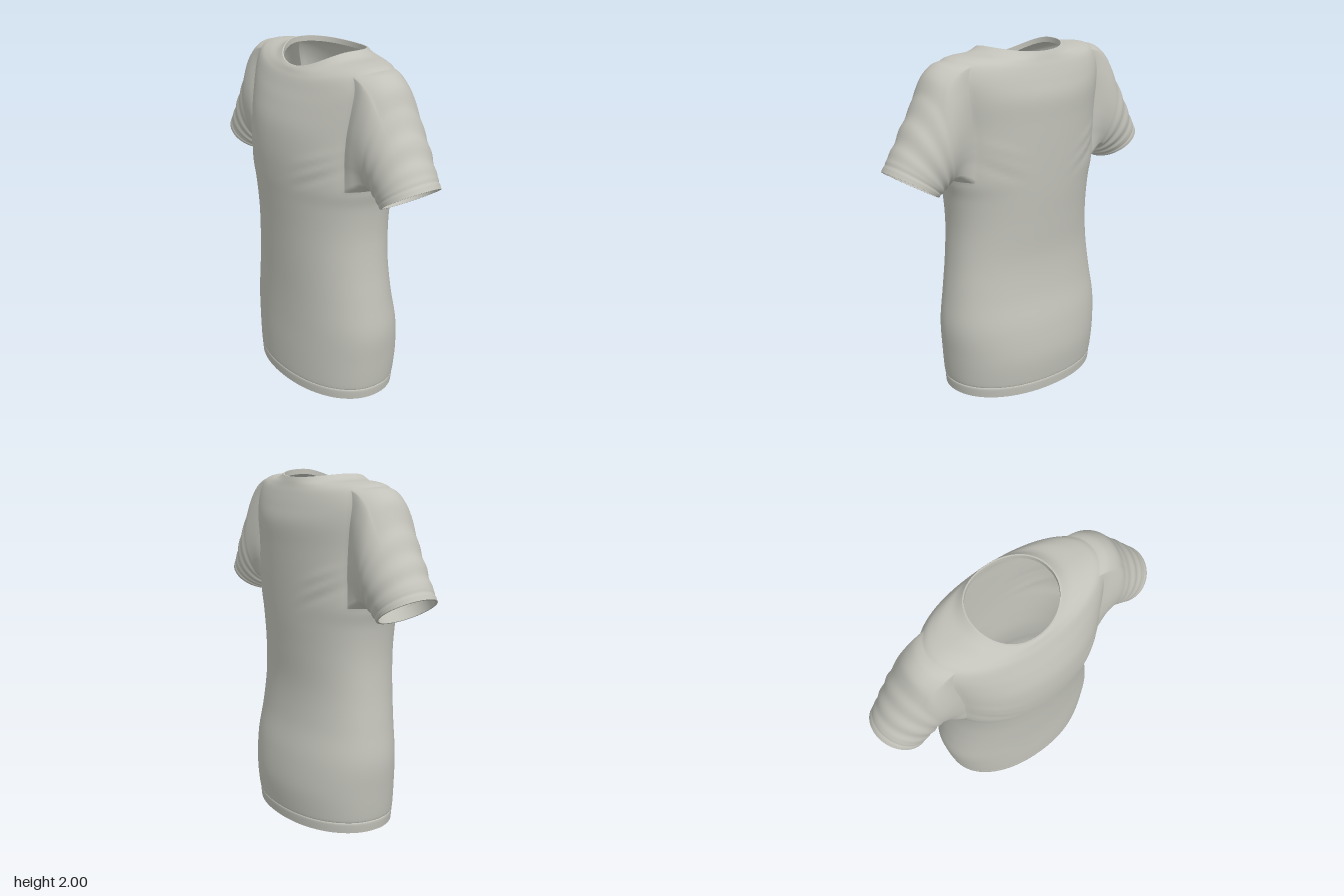
import * as THREE from 'three';

const COLS = 96, STEP = 6, HALF = 8; // columns round the body, rows per key, half width of an armhole in columns

// Body sections: half width, front depth, back depth, then height at side, front and back
const BODY = [
  [0.497, 0.312, 0.335, 0, 0, 0],
  [0.502, 0.315, 0.339, 0.05, 0.05, 0.05],
  [0.498, 0.311, 0.336, 0.064, 0.064, 0.064],
  [0.507, 0.317, 0.344, 0.08, 0.08, 0.08],
  [0.521, 0.317, 0.355, 0.23, 0.23, 0.23],
  [0.531, 0.313, 0.336, 0.41, 0.41, 0.41],
  [0.507, 0.313, 0.297, 0.6, 0.6, 0.6],
  [0.48, 0.32, 0.277, 0.8, 0.8, 0.8],
  [0.466, 0.33, 0.284, 1.0, 1.0, 1.0],
  [0.478, 0.344, 0.295, 1.18, 1.18, 1.18],
  [0.505, 0.354, 0.3, 1.3, 1.3, 1.3],
  [0.505, 0.358, 0.304, 1.45, 1.45, 1.45],
  [0.512, 0.345, 0.306, 1.61, 1.6, 1.6],
  [0.53, 0.31, 0.306, 1.76, 1.72, 1.73],
  [0.535, 0.278, 0.285, 1.87, 1.8, 1.82],
  [0.5, 0.257, 0.262, 1.945, 1.85, 1.89],
  [0.42, 0.242, 0.246, 1.967, 1.878, 1.93],
  [0.31, 0.23, 0.236, 1.973, 1.9, 1.957],
  [0.25, 0.218, 0.227, 2.0, 1.912, 1.977],
];
const ARM_LOW = 10 * STEP, ARM_HIGH = 15 * STEP; // armhole rows

// Sleeve sections: top x, top y, bottom x, bottom y, half depth, centre z, pull towards the armhole outline
const SLEEVE = [
  [0.5, 1.945, 0.505, 1.3, 0.18, 0, 1],
  [0.56, 1.933, 0.518, 1.304, 0.19, 0, 0.7],
  [0.625, 1.88, 0.53, 1.304, 0.192, -0.003, 0.35],
  [0.675, 1.78, 0.545, 1.295, 0.188, -0.008, 0.1],
  [0.75, 1.655, 0.562, 1.283, 0.183, -0.01, 0],
  [0.822, 1.535, 0.585, 1.262, 0.174, -0.008, 0],
  [0.87, 1.46, 0.604, 1.246, 0.17, -0.006, 0],
  [0.9, 1.41, 0.62, 1.235, 0.168, -0.005, 0],
];

// Smooth interpolation through the rows of a table
function sample(table, s) {
  const last = table.length - 1, k = Math.min(Math.floor(s), last - 1), f = s - k;
  const row = (i) => table[Math.max(0, Math.min(last, i))];
  return table[k].map((p1, j) => {
    const p0 = row(k - 1)[j], p2 = row(k + 1)[j], p3 = row(k + 2)[j];
    return p1 + 0.5 * f * (p2 - p0 + f * (2 * p0 - 5 * p1 + 4 * p2 - p3 + f * (3 * (p1 - p2) + p3 - p0)));
  });
}

const signedPow = (v, e) => Math.sign(v) * Math.pow(Math.abs(v), e);

// Soft diagonal folds running from the armpits across the chest and back
function foldHeight(x, y) {
  let h = 0;
  for (const [y0, slope, size] of [[1.25, 0.5, 0.007], [1.34, 0.42, 0.005]]) {
    const d = (y - y0 - slope * Math.abs(x)) / 0.025;
    const along = Math.exp(-Math.pow((Math.abs(x) - 0.33) / 0.12, 2));
    h += size * along * (Math.exp(-d * d) - 0.7 * Math.exp(-(d + 2) * (d + 2)));
  }
  return h;
}

function bodyPoint(row, col) {
  const [w, front, back, ySide, yFront, yBack] = sample(BODY, row / STEP);
  const t = (col / COLS) * Math.PI * 2, c = Math.cos(t), s = Math.sin(t);
  const x = w * signedPow(c, 0.94);
  const yMid = s > 0 ? yFront : yBack;
  const y = yMid + (ySide - yMid) * c * c;
  const z = (s > 0 ? front : back) * signedPow(s, 0.94);
  return new THREE.Vector3(x, y, z + Math.sign(s) * foldHeight(x, y) * Math.min(1, Math.abs(s) * 1.5));
}

export function createModel() {
  const shirt = new THREE.Group();
  shirt.name = 'shirt';
  const fabric = new THREE.MeshStandardMaterial({ color: 0xc2c2ba, side: THREE.DoubleSide });
  fabric.name = 'grey fabric';

  const points = [];
  const faces = { body: [], leftSleeve: [], rightSleeve: [] };
  const quad = (list, a, b, c, d, flip) =>
    flip ? list.push(a, b, c, b, d, c) : list.push(a, c, b, b, c, d);

  // Body grid with an opening at each side
  const rows = (BODY.length - 1) * STEP;
  const id = (r, c) => r * COLS + ((c + COLS) % COLS);
  for (let r = 0; r <= rows; r++) for (let c = 0; c < COLS; c++) points.push(bodyPoint(r, c));
  const inArmhole = (r, c) => {
    const near = (m) => Math.abs(((c + 0.5 - m + COLS * 1.5) % COLS) - COLS / 2) < HALF;
    return r >= ARM_LOW && r < ARM_HIGH && (near(0) || near(COLS / 2));
  };
  for (let r = 0; r < rows; r++) for (let c = 0; c < COLS; c++) {
    if (!inArmhole(r, c)) quad(faces.body, id(r, c), id(r, c + 1), id(r + 1, c), id(r + 1, c + 1), false);
  }

  // Sleeves grow out of the armhole outlines
  const cuffs = [];
  for (const side of [1, -1]) {
    const at = (r, c) => id(r, side > 0 ? c : COLS / 2 - c);
    let ring = [];
    for (let c = -HALF; c < HALF; c++) ring.push(at(ARM_LOW, c));
    for (let r = ARM_LOW; r < ARM_HIGH; r++) ring.push(at(r, HALF));
    for (let c = HALF; c > -HALF; c--) ring.push(at(ARM_HIGH, c));
    for (let r = ARM_HIGH; r > ARM_LOW; r--) ring.push(at(r, -HALF));

    const section = (s, phi) => {
      const [tx, ty, bx, by, depth, cz] = sample(SLEEVE, s);
      // creases across the lower sleeve, and a stitched groove above the cuff
      const crease = s > 2.6 && s < 6 ? 0.022 * Math.sin(s * 6 + 1.5 * Math.sin(phi + side)) * Math.sin(((s - 2.6) / 3.4) * Math.PI) : 0;
      const stitch = -0.025 * Math.exp(-Math.pow((s - 6.2) / 0.1, 2));
      const k = 1 + crease + stitch, u = (Math.cos(phi) * k) / 2;
      return new THREE.Vector3(side * ((tx + bx) / 2 + u * (tx - bx)), (ty + by) / 2 + u * (ty - by), cz + depth * k * Math.sin(phi));
    };
    const outline = ring.map((i) => points[i]);
    const [, topY, , lowY, depth0] = SLEEVE[0];
    const angles = outline.map((p) => Math.atan2(p.z / depth0, (p.y - (topY + lowY) / 2) / ((topY - lowY) / 2)));
    const offsets = outline.map((p, j) => p.clone().sub(section(0, angles[j])));
    const list = side > 0 ? faces.leftSleeve : faces.rightSleeve;
    const count = (SLEEVE.length - 1) * 8;
    for (let n = 1; n <= count; n++) {
      const s = n / 8, pull = Math.max(0, sample(SLEEVE, s)[6]);
      const next = angles.map((phi, j) => points.push(section(s, phi).addScaledVector(offsets[j], pull)) - 1);
      ring.forEach((a, j) => {
        const k = (j + 1) % ring.length;
        quad(list, a, ring[k], next[j], next[k], side < 0);
      });
      ring = next;
    }
    cuffs.push(ring.map((i) => points[i]));
  }

  // Shared normals keep the armhole seams smooth
  const whole = new THREE.BufferGeometry().setFromPoints(points);
  whole.setIndex(Object.values(faces).flat());
  whole.computeVertexNormals();
  for (const [name, list] of Object.entries(faces)) {
    whole.setIndex(list);
    const mesh = new THREE.Mesh(whole.toNonIndexed(), fabric);
    mesh.name = name;
    shirt.add(mesh);
  }

  // Turned-in edge: a flat rim and a short inner band
  const addRim = (name, loop, inward, thick) => {
    const centre = loop.reduce((sum, p) => sum.add(p), new THREE.Vector3()).divideScalar(loop.length);
    const inner = loop.map((p) => p.clone().addScaledVector(centre.clone().sub(p).setComponent(1, name === 'neckRim' ? 0 : centre.y - p.y).normalize(), thick));
    const deep = inner.map((p) => p.clone().add(inward));
    const pts = [...loop, ...inner, ...inner, ...deep], n = loop.length, list = [];
    for (const base of [0, 2 * n]) for (let j = 0; j < n; j++) {
      const k = (j + 1) % n;
      quad(list, base + j, base + k, base + n + j, base + n + k, false);
    }
    const geo = new THREE.BufferGeometry().setFromPoints(pts);
    geo.setIndex(list);
    geo.computeVertexNormals();
    const mesh = new THREE.Mesh(geo, fabric);
    mesh.name = name;
    shirt.add(mesh);
  };
  const bodyLoop = (r) => Array.from({ length: COLS }, (_, c) => points[id(r, c)]);
  addRim('hemRim', bodyLoop(0), new THREE.Vector3(0, 0.06, 0), 0.012);
  addRim('neckRim', bodyLoop(rows), new THREE.Vector3(0, -0.03, 0), 0.008);
  addRim('leftCuffRim', cuffs[0], new THREE.Vector3(-0.03, 0.048, 0), 0.012);
  addRim('rightCuffRim', cuffs[1], new THREE.Vector3(0.03, 0.048, 0), 0.012);
  return shirt;
}
